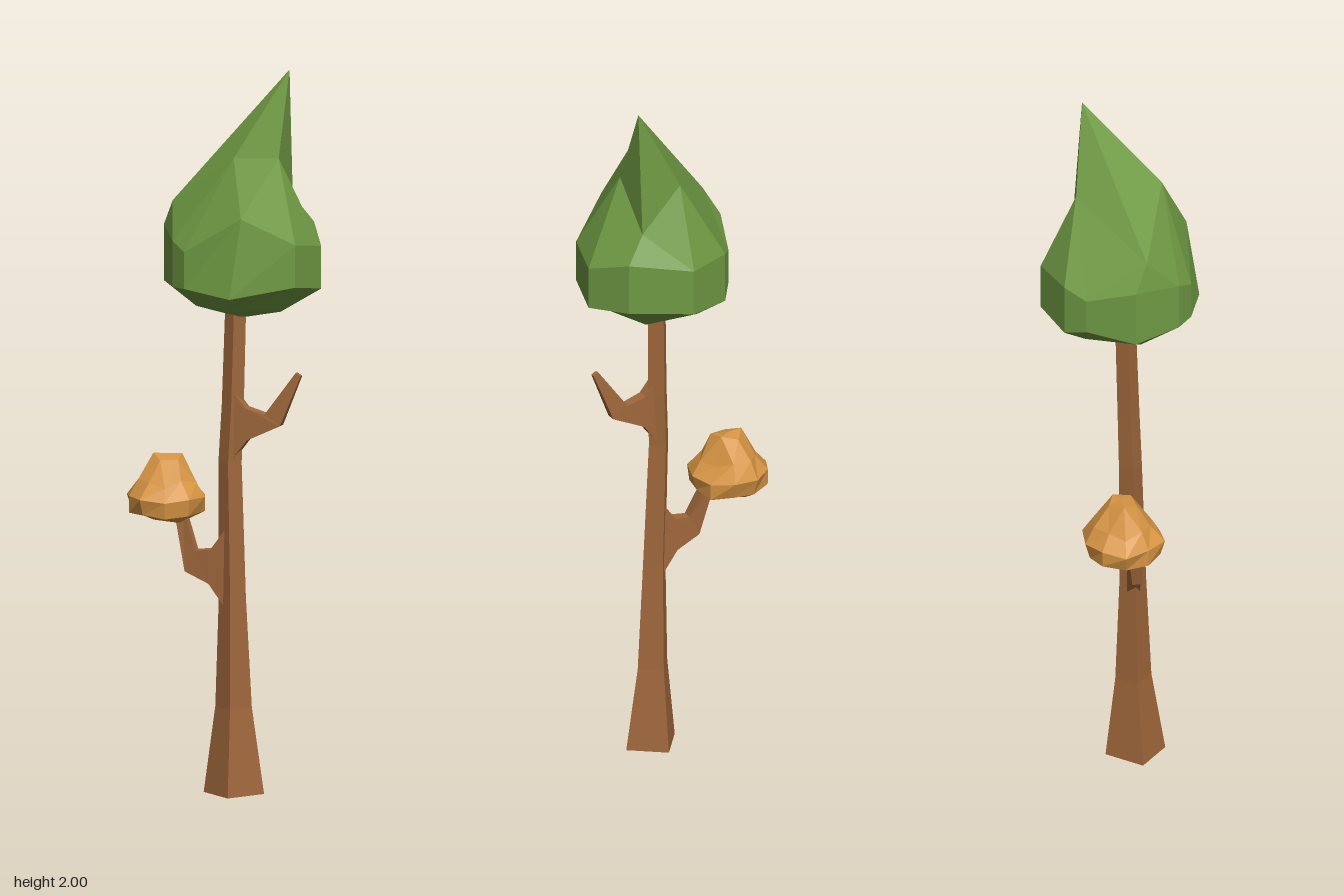
import * as THREE from 'three';

const bark = new THREE.MeshStandardMaterial({ color: 0xa0683c });
bark.name = 'brown bark';
const leaf = new THREE.MeshStandardMaterial({ color: 0x6f9a43 });
leaf.name = 'green leaves';
const autumn = new THREE.MeshStandardMaterial({ color: 0xd69443 });
autumn.name = 'orange leaves';

// Faceted skin over a stack of point loops; neighbouring loops may differ in count
function loft(name, rings, material) {
  const pos = [];
  const tri = (a, b, c) => {
    if (a !== b && b !== c && a !== c) pos.push(...a, ...b, ...c);
  };
  for (let k = 0; k < rings.length - 1; k++) {
    const A = rings[k], B = rings[k + 1], M = Math.max(A.length, B.length);
    const pick = (r, i) => r[Math.floor(((i % M) * r.length) / M)];
    for (let i = 0; i < M; i++) {
      const a = pick(A, i), a2 = pick(A, i + 1), b = pick(B, i), b2 = pick(B, i + 1);
      tri(a, b, a2);
      tri(a2, b, b2);
    }
  }
  const g = new THREE.BufferGeometry();
  g.setAttribute('position', new THREE.Float32BufferAttribute(pos, 3));
  g.computeVertexNormals();
  const mesh = new THREE.Mesh(g, material);
  mesh.name = name;
  return mesh;
}

const middle = (ring) => [0, 1, 2].map((k) => ring.reduce((s, p) => s + p[k], 0) / ring.length);
const capped = (rings) => [[middle(rings[0])], ...rings, [middle(rings[rings.length - 1])]];

// Square limb growing sideways along (hx, hz); sections: [topD, topY, bottomD, bottomY, halfWidth, shift]
function branch(name, x, z, hx, hz, sections) {
  const rings = sections.map(([td, ty, bd, by, w, shift = 0]) => {
    const at = (d, y, s) => [x + hx * d - hz * (s + shift), y, z + hz * d + hx * (s + shift)];
    return [at(td, ty, w), at(td, ty, -w), at(bd, by, -w), at(bd, by, w)];
  });
  return loft(name, capped(rings), bark);
}

// Loop of n points round a centre, slightly uneven
function ring(n, cx, cz, r, y, phase, wobble) {
  return Array.from({ length: n }, (_, i) => {
    const a = phase + (i / n) * Math.PI * 2;
    const k = r * (1 + wobble * Math.sin(i * 2.7 + y * 40));
    return [cx + k * Math.cos(a), y + 0.1 * wobble * Math.sin(i * 4.1 + y * 9), cz + k * Math.sin(a)];
  });
}

export function createModel() {
  const tree = new THREE.Group();
  tree.name = 'tree';

  // Trunk: [y, x0, x1, z0, z1]
  const trunk = [
    [0, -0.085, 0.035, 0, 0.118],
    [0.24, -0.058, 0.014, 0.017, 0.089],
    [0.55, -0.049, 0.003, 0.021, 0.076],
    [0.92, -0.045, 0, 0.013, 0.06],
    [1.08, -0.036, 0.006, 0.016, 0.062],
    [1.4, -0.024, 0.016, 0.018, 0.06],
  ].map(([y, x0, x1, z0, z1]) => [[x1, y, z0], [x1, y, z1], [x0, y, z1], [x0, y, z0]]);
  tree.add(loft('trunk', capped(trunk), bark));

  // Bare upper branch and the lower branch that carries the small crown
  tree.add(branch('upperBranch', -0.02, 0.04, 0.6, 0.8, [
    [0, 1.13, 0, 0.92, 0.018],
    [0.045, 1.075, 0.05, 0.985, 0.017],
    [0.1, 1.06, 0.145, 1.03, 0.014],
    [0.188, 1.18, 0.203, 1.172, 0.007],
  ]));
  tree.add(branch('lowerBranch', -0.025, 0.045, -0.6, -0.8, [
    [0, 0.75, 0, 0.5, 0.018],
    [0.055, 0.675, 0.06, 0.58, 0.017],
    [0.1, 0.67, 0.13, 0.61, 0.014],
    [0.145, 0.79, 0.172, 0.78, 0.01, 0.025],
  ]));

  // Large crown: rounded below, drawn into a leaning point with a notch on its left side
  const outline = [
    [0.188, -0.09], [0.222, 0.085], [0.165, 0.205], [0.045, 0.255], [-0.14, 0.207],
    [-0.197, 0.07], [-0.195, 0.01], [-0.135, -0.12], [0, -0.16], [0.07, -0.16],
  ];
  const shoulder = outline.map(([x, z], i) => [x, 1.55 + 0.025 * Math.sin(i * 2.1), z]);
  shoulder[4] = [-0.1, 1.63, 0.205];
  tree.add(loft('largeCrown', [
    [[0.01, 1.32, 0.045]],
    ring(5, 0.01, 0.05, 0.13, 1.355, 0, 0.05),
    outline.map(([x, z], i) => [x, 1.42 + 0.012 * Math.sin(i * 2.6), z]),
    shoulder,
    [[0.172, 1.645, 0.055], [0.075, 1.77, 0.13], [-0.07, 1.785, 0.125], [-0.14, 1.645, -0.07], [0.105, 1.77, -0.04]],
    [[0.152, 2, 0.069]],
  ], leaf));

  // Small crown: flat underside and a lumpy domed top
  const cx = -0.11, cz = -0.145;
  tree.add(loft('smallCrown', [
    [[cx, 0.738, cz]],
    ring(5, cx, cz, 0.06, 0.744, 0.3, 0.05),
    ring(10, cx, cz, 0.104, 0.763, -0.3, 0.05),
    ring(10, cx, cz, 0.112, 0.808, -0.3, 0.05),
    ring(10, cx, cz, 0.08, 0.85, -0.3, 0.1),
    ring(5, cx + 0.005, cz + 0.003, 0.042, 0.915, 0.3, 0.08),
    [[cx + 0.01, 0.923, cz]],
  ], autumn));

  return tree;
}
